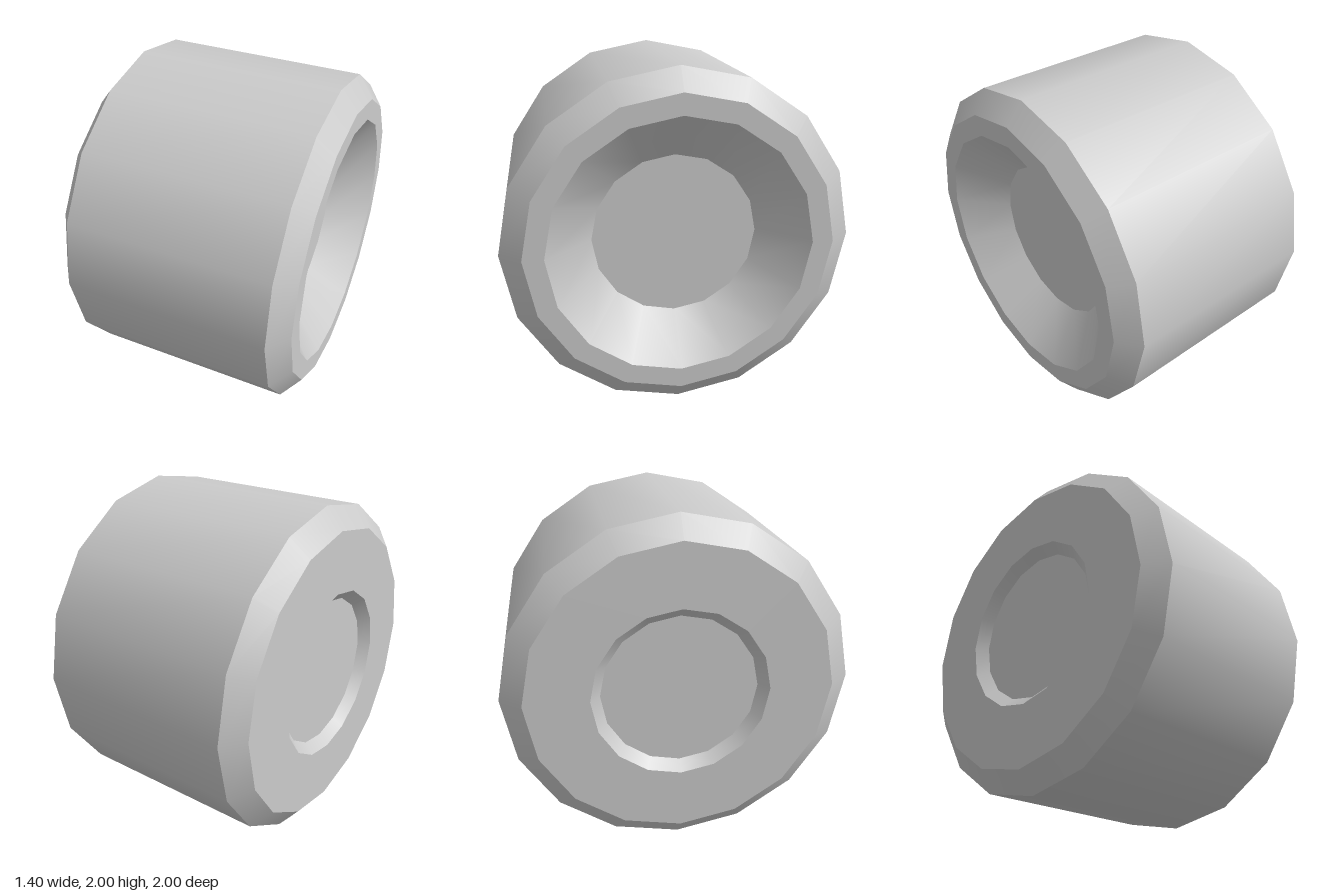
import * as THREE from 'three';

const SIDES = 16;

// One ring between two [radius, x] stations, smooth around and sharp at its rims.
function band(name, a, b, material) {
  const geometry = new THREE.LatheGeometry([new THREE.Vector2(...a), new THREE.Vector2(...b)], SIDES);
  geometry.rotateZ(-Math.PI / 2);
  const mesh = new THREE.Mesh(geometry, material);
  mesh.name = name;
  return mesh;
}

export function createModel() {
  const model = new THREE.Group();
  model.name = 'wheel';
  const grey = new THREE.MeshStandardMaterial({ color: 0xcccccc });

  // Profile from the inner hub (-x), over the tread, to the outer hub (+x)
  const profile = [
    [0, -0.64], [0.45, -0.64], [0.508, -0.7], [0.875, -0.7], [1, -0.6],
    [1, 0.6], [0.875, 0.7], [0.755, 0.7], [0.485, 0.457], [0, 0.457],
  ];
  const names = [
    'innerHubDisc', 'innerRecess', 'innerSidewall', 'innerBevel', 'tread',
    'outerBevel', 'outerRim', 'outerDish', 'outerHubDisc',
  ];
  const wheel = new THREE.Group();
  wheel.name = 'wheelBody';
  names.forEach((name, i) => wheel.add(band(name, profile[i], profile[i + 1], grey)));
  wheel.position.y = 1;
  model.add(wheel);
  return model;
}
